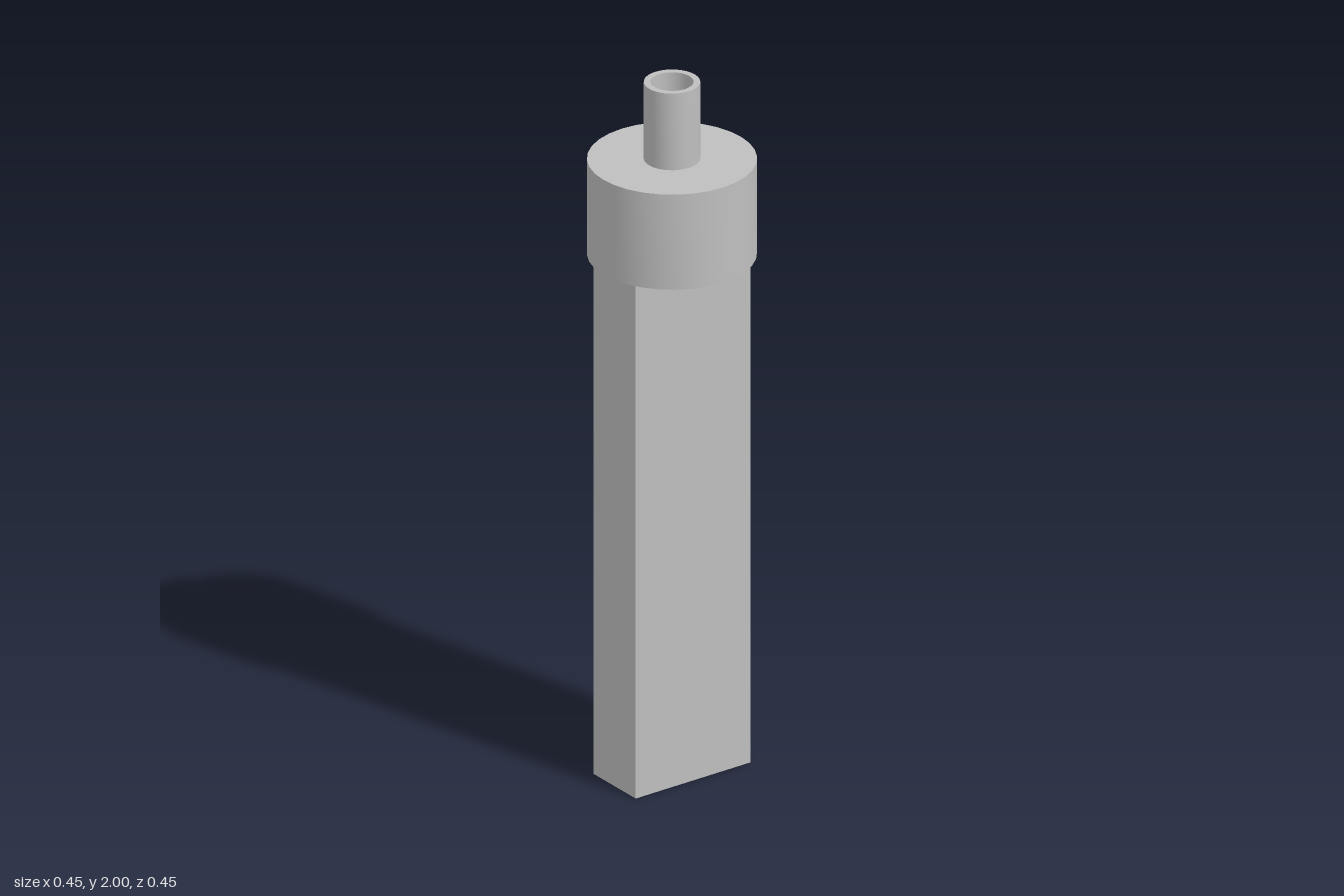
import * as THREE from 'three';
import { toCreasedNormals } from 'three/addons/utils/BufferGeometryUtils.js';

const BORE = 0.057;

export function createModel() {
  const group = new THREE.Group();
  const grey = new THREE.MeshStandardMaterial({ color: 0xbfbfbf });
  grey.name = 'grey';

  // Extrudes an outline upwards from y0 to y1, with the central bore cut through it
  function addBored(name, outline, y0, y1) {
    outline.holes.push(new THREE.Path().absarc(0, 0, BORE, 0, Math.PI * 2, true));
    const geometry = new THREE.ExtrudeGeometry(outline, {
      depth: y1 - y0, bevelEnabled: false, curveSegments: 16,
    });
    geometry.rotateX(-Math.PI / 2).translate(0, y0, 0);
    const mesh = new THREE.Mesh(toCreasedNormals(geometry, 0.5), grey);
    mesh.name = name;
    group.add(mesh);
  }

  const disc = (r) => new THREE.Shape().absarc(0, 0, r, 0, Math.PI * 2, false);
  const rectangle = (w, d) => new THREE.Shape([
    new THREE.Vector2(-w / 2, -d / 2), new THREE.Vector2(w / 2, -d / 2),
    new THREE.Vector2(w / 2, d / 2), new THREE.Vector2(-w / 2, d / 2),
  ]);

  // Flat bar, round collar and thin-walled spout
  addBored('bar', rectangle(0.374, 0.187), 0, 1.5);
  addBored('collar', disc(0.224), 1.5, 1.777);
  addBored('spout', disc(0.0745), 1.777, 2);

  return group;
}
